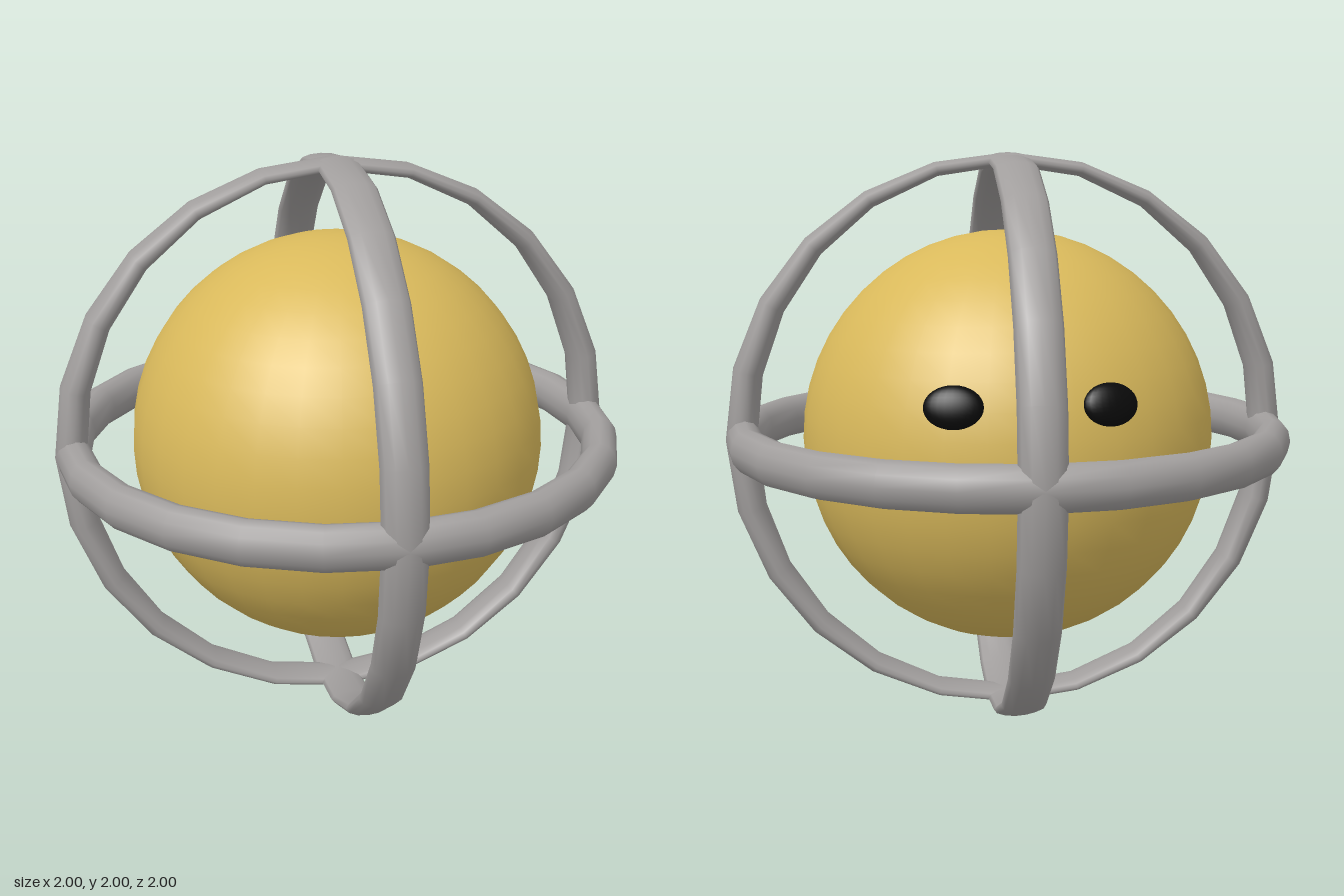
import * as THREE from 'three';
import { mergeVertices } from 'three/addons/utils/BufferGeometryUtils.js';

const HALF_WIDTH = 0.077;

// Ring of outer radius 1 with an oval section; its radial thickness runs from
// "sides" (at +-x) to "ends" (at +-y).
function ringGeometry(sides, ends) {
  const tube = 0.1;
  const torus = new THREE.TorusGeometry(1, tube, 12, 24);
  torus.deleteAttribute('uv');
  torus.deleteAttribute('normal');
  const p = torus.attributes.position;
  for (let i = 0; i < p.count; i++) {
    const r = Math.hypot(p.getX(i), p.getY(i));
    const c = p.getX(i) / r, s = p.getY(i) / r;
    const thickness = ends + (sides - ends) * c * c;
    const radius = 1 - (thickness / 2) * (1 - (r - 1) / tube);
    p.setXYZ(i, c * radius, s * radius, (p.getZ(i) / tube) * HALF_WIDTH);
  }
  const geometry = mergeVertices(torus, 1e-5);
  geometry.computeVertexNormals();
  return geometry;
}

export function createModel() {
  const model = new THREE.Group();
  model.name = 'cagedBall';

  const gold = new THREE.MeshStandardMaterial({ color: 0xd9b95b });
  gold.name = 'gold';
  const grey = new THREE.MeshStandardMaterial({ color: 0xa19e9d });
  grey.name = 'grey';
  const black = new THREE.MeshStandardMaterial({ color: 0x0a0a0a });
  black.name = 'black';

  function add(name, geometry, material, y = 1) {
    const mesh = new THREE.Mesh(geometry, material);
    mesh.name = name;
    mesh.position.y = y;
    model.add(mesh);
    return mesh;
  }

  // Ball
  add('ball', new THREE.SphereGeometry(0.728, 32, 24), gold, 1.006);

  // Cage: one level ring and two upright rings, the crosswise one leaning slightly back
  const upright = ringGeometry(0.11, 0.045);
  add('levelRing', ringGeometry(0.125, 0.125), grey, 1.003).rotation.x = Math.PI / 2;
  add('crosswiseRing', upright, grey).rotation.x = -0.02;
  add('lengthwiseRing', upright, grey).rotation.y = Math.PI / 2;

  // Eyes: flattened ovals resting on the back of the ball
  const eyeGeometry = new THREE.SphereGeometry(1, 24, 16).scale(0.095, 0.07, 0.037);
  for (const [name, x, z, yaw] of [['rightEye', -0.247, -0.69, 0.35], ['leftEye', 0.248, -0.698, -0.18]]) {
    const eye = add(name, eyeGeometry, black, 1.215);
    eye.position.x = x;
    eye.position.z = z;
    eye.rotation.set(0.29, yaw, 0, 'YXZ');
  }

  return model;
}
